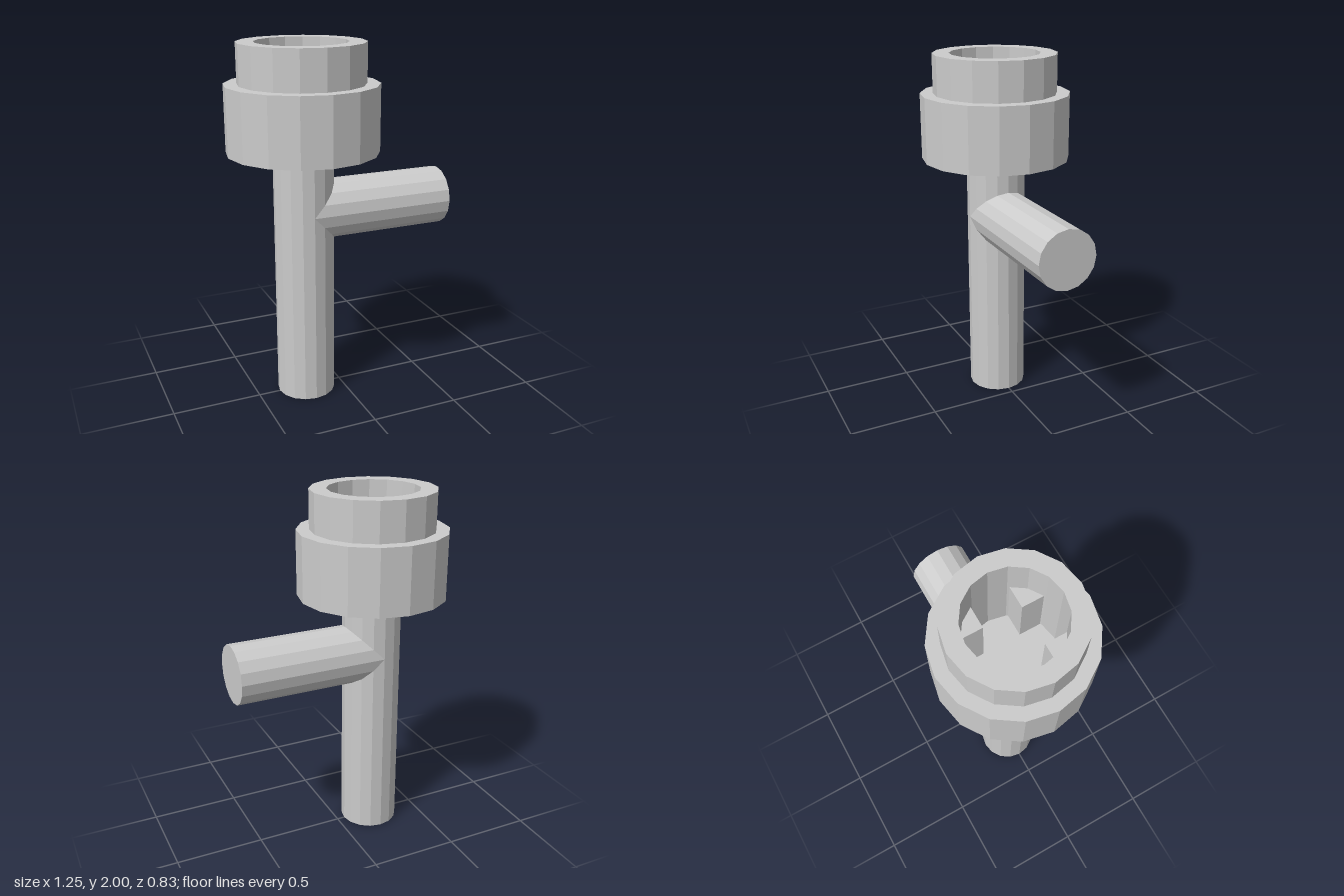
import * as THREE from 'three';

const SIDES = 16;
const AXIS_X = -0.21;   // stem and collar axis
const PIPE_R = 0.165;
const COLLAR_BOTTOM = 1.42, STEP_Y = 1.785, SOCKET_FLOOR = 1.44;
const BORE_R = 0.25, SLOT_HALF = 0.105;

export function createModel() {
  const model = new THREE.Group();
  model.name = 'tap';
  const material = new THREE.MeshStandardMaterial({ color: 0xcccccc, flatShading: true });

  const add = (name, geometry, parent = model) => {
    const mesh = new THREE.Mesh(geometry, material);
    mesh.name = name;
    parent.add(mesh);
    return mesh;
  };

  // Upright stem
  const stemHeight = COLLAR_BOTTOM + 0.01;
  const stem = add('stem', new THREE.CylinderGeometry(PIPE_R, PIPE_R, stemHeight, SIDES));
  stem.position.set(AXIS_X, stemHeight / 2, 0);

  // Side spout, starting on the stem axis so that the pipes meet in a mitre
  const spoutLength = 0.62 - AXIS_X;
  const spout = add('spout', new THREE.CylinderGeometry(PIPE_R, PIPE_R, spoutLength, SIDES));
  spout.rotation.z = -Math.PI / 2;
  spout.position.set(AXIS_X + spoutLength / 2, 1.085, 0);

  // Stepped collar with an open bore
  const collar = new THREE.Group();
  collar.name = 'collar';
  collar.position.x = AXIS_X;
  model.add(collar);
  const profile = [
    [0, COLLAR_BOTTOM], [0.415, COLLAR_BOTTOM], [0.415, STEP_Y], [0.343, STEP_Y],
    [0.343, 2], [BORE_R, 2], [BORE_R, SOCKET_FLOOR], [0, SOCKET_FLOOR],
  ].map(([x, y]) => new THREE.Vector2(x, y));
  add('collarShell', new THREE.LatheGeometry(profile, SIDES), collar);

  // Four corner blocks in the bore leave a cross-shaped socket between them
  const reach = 0.225, diagonal = BORE_R * Math.SQRT1_2;
  const corner = new THREE.Shape([
    new THREE.Vector2(SLOT_HALF, SLOT_HALF),
    new THREE.Vector2(reach, SLOT_HALF),
    new THREE.Vector2(diagonal, diagonal),
    new THREE.Vector2(SLOT_HALF, reach),
  ]);
  const block = new THREE.ExtrudeGeometry(corner, { depth: STEP_Y - SOCKET_FLOOR, bevelEnabled: false });
  block.rotateX(-Math.PI / 2);
  for (let i = 0; i < 4; i++) {
    const mesh = add('socketCorner' + (i + 1), block, collar);
    mesh.position.y = SOCKET_FLOOR;
    mesh.rotation.y = i * Math.PI / 2;
  }

  return model;
}
